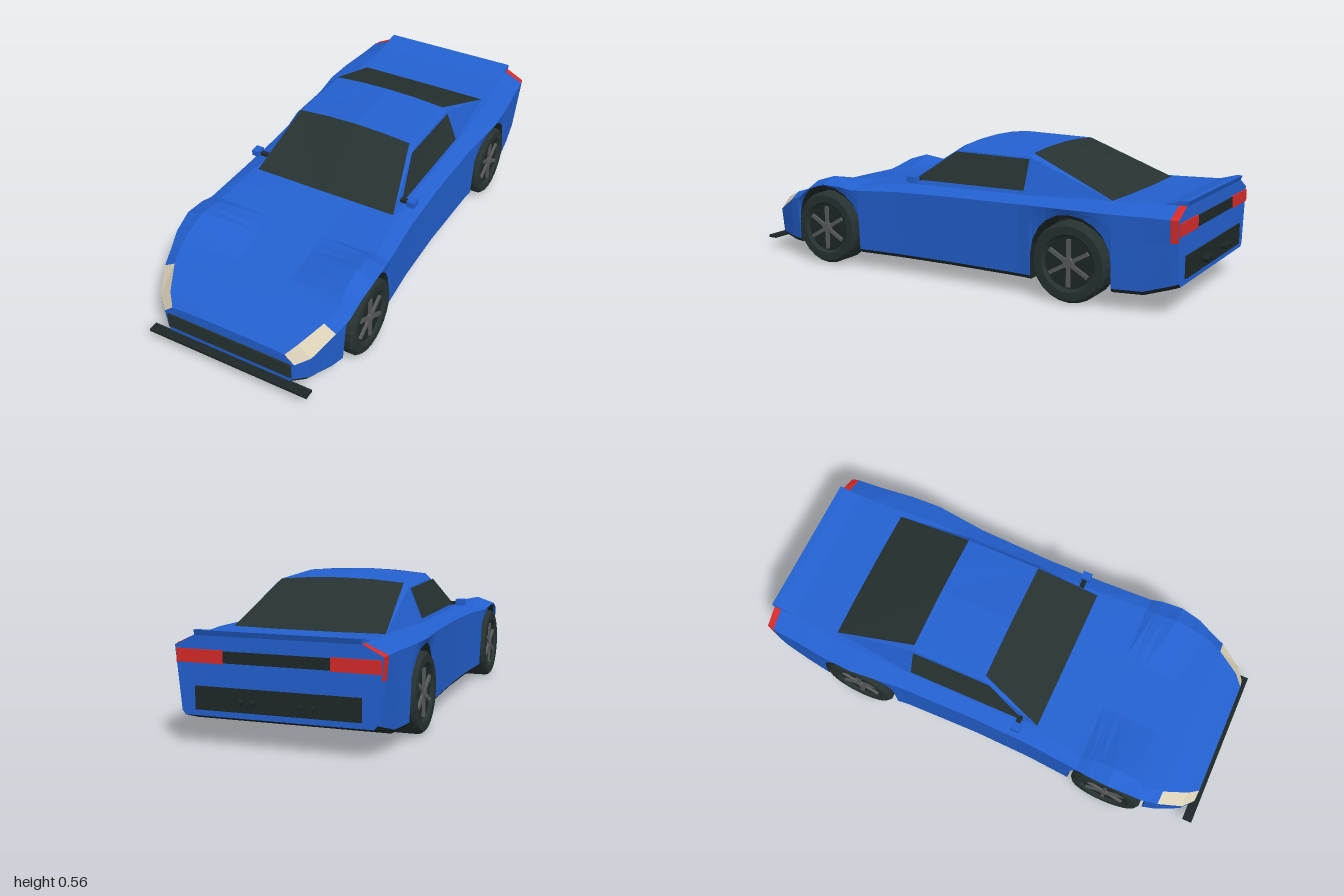
import * as THREE from 'three';

const mat = (name, color) => Object.assign(new THREE.MeshStandardMaterial({ color }), { name });

export function createModel() {
  const car = new THREE.Group();
  car.name = 'sportsCar';
  const paint = mat('blue paint', 0x2360cf);
  const glass = mat('tinted glass', 0x263231);
  const trim = mat('dark trim', 0x1e2727);
  const lamp = mat('headlight cream', 0xdad0b8);
  const red = mat('tail light red', 0xd52a28);
  const alloy = mat('wheel grey', 0x58595b);

  const add = (name, geometry, material, x = 0, y = 0, z = 0, parent = car) => {
    const m = new THREE.Mesh(geometry, material);
    m.name = name;
    m.position.set(x, y, z);
    parent.add(m);
    return m;
  };
  const box = (name, w, h, d, material, x, y, z, parent) =>
    add(name, new THREE.BoxGeometry(w, h, d), material, x, y, z, parent);

  // Faceted panels gathered per part; each polygon is given for the +x side and mirrored
  const parts = {};
  const poly = (part, pts) => {
    const out = (parts[part] ??= []);
    for (const s of [1, -1]) {
      for (let i = 1; i < pts.length - 1; i++) {
        const tri = s > 0 ? [pts[0], pts[i], pts[i + 1]] : [pts[0], pts[i + 1], pts[i]];
        for (const [x, y, z] of tri) out.push(s * x, y, z);
      }
    }
  };

  // Body stations: z, shoulder x, sill x, shoulder y, crown x, crown y, centre y, floor y
  const stations = [
    [0.97, 0.29, 0.28, 0.17, 0.25, 0.205, 0.21, 0.075],
    [0.93, 0.338, 0.325, 0.192, 0.285, 0.238, 0.24, 0.072],
    [0.83, 0.385, 0.37, 0.25, 0.335, 0.28, 0.283, 0.066],
    [0.76, 0.405, 0.39, 0.275, 0.36, 0.297, 0.294, 0.065],
    [0.70, 0.416, 0.405, 0.318, 0.35, 0.345, 0.304, 0.065],
    [0.61, 0.425, 0.415, 0.346, 0.35, 0.372, 0.318, 0.065],
    [0.52, 0.42, 0.41, 0.342, 0.35, 0.36, 0.333, 0.065],
    [0.47, 0.412, 0.4, 0.332, 0.36, 0.345, 0.34, 0.065],
    [0.25, 0.398, 0.385, 0.345, 0.335, 0.37, 0.37, 0.065],
    [0.0, 0.394, 0.38, 0.35, 0.335, 0.375, 0.375, 0.065],
    [-0.33, 0.402, 0.388, 0.356, 0.335, 0.38, 0.38, 0.065],
    [-0.55, 0.425, 0.413, 0.362, 0.335, 0.386, 0.384, 0.065],
    [-0.68, 0.42, 0.408, 0.362, 0.325, 0.388, 0.386, 0.065],
    [-0.84, 0.402, 0.385, 0.362, 0.315, 0.395, 0.394, 0.068],
    [-0.94, 0.395, 0.372, 0.362, 0.31, 0.4, 0.4, 0.1],
    [-0.97, 0.388, 0.365, 0.36, 0.31, 0.4, 0.4, 0.11],
  ];
  const axles = [0.61, -0.55], archR = 0.17, axleY = 0.155;
  const zs = stations.map((s) => s[0]);
  for (const a of axles) {
    for (const e of [1, -1]) {
      zs.push(a + e * (archR + 0.0005));
      for (const deg of [0, 18, 36, 54, 72]) zs.push(a + e * archR * Math.cos((deg * Math.PI) / 180));
    }
  }
  zs.sort((a, b) => b - a);

  const section = (z) => {
    let i = 0;
    while (i < stations.length - 2 && stations[i + 1][0] > z) i++;
    const a = stations[i], b = stations[i + 1];
    const t = (z - a[0]) / (b[0] - a[0]);
    const [, w, wb, ys, xe, ye, yc, yb] = a.map((v, k) => v + (b[k] - v) * t);
    let lo = yb;
    for (const c of axles) {
      const d = Math.abs(z - c);
      if (d < archR + 0.0002) lo = axleY + Math.sqrt(Math.max(0, archR ** 2 - d * d));
    }
    const xi = Math.min(0.28, wb - 0.03), sill = lo + 0.015;
    return [[0, yb], [xi, yb], [xi, lo], [wb - 0.012, lo], [wb, sill],
      [wb + (w - wb) * 0.65, sill + (ys - sill) * 0.65], [w, ys], [xe, ye], [0.12, yc], [0, yc]]
      .map(([x, y]) => [x, y, z]);
  };
  const rings = zs.map(section);
  for (let i = 0; i < rings.length - 1; i++) {
    for (let j = 0; j < 9; j++) {
      let part = j < 4 ? 'underbody' : 'body';
      if (j === 6 && zs[i + 1] > 0.82) part = 'headlights';
      if ((j === 5 || j === 6) && zs[i] < -0.939) part = 'tailLightCorners';
      const [a, b, c, d] = [rings[i][j], rings[i][j + 1], rings[i + 1][j + 1], rings[i + 1][j]];
      poly(part, [a, d, c]);
      poly(part, [a, c, b]);
    }
  }
  // Nose and tail faces
  const nose = rings[0], tail = rings[rings.length - 1];
  for (let j = 0; j < 9; j++) {
    poly('body', [[0, 0.14, 0.97], nose[j], nose[j + 1]]);
    poly('body', [[0, 0.25, -0.97], tail[j + 1], tail[j]]);
  }

  // Cabin: corner points on the +x side
  const A = [0.32, 0.365, 0.262], B = [0.336, 0.37, -0.33], C = [0.3, 0.386, -0.68];
  const E = [0.258, 0.54, 0], D = [0.258, 0.533, -0.32];
  const E2 = [0.278, 0.52, 0], D2 = [0.278, 0.517, -0.32];
  const roofF = [[0.13, 0.551, 0], [0, 0.555, 0]], roofR = [[0.13, 0.543, -0.32], [0, 0.546, -0.32]];
  poly('windscreen', [[0, 0.365, 0.262], A, E, ...roofF]);
  poly('rearGlass', [C, [0, 0.386, -0.68], roofR[1], roofR[0], D]);
  poly('cabin', [E, D, ...roofR, roofF[1], roofF[0]]);
  poly('cabin', [A, B, D2, E2]);
  poly('cabin', [A, E2, E]);
  poly('cabin', [E2, D2, D, E]);
  poly('cabin', [B, C, D2]);
  poly('cabin', [C, D, D2]);
  const sideX = (y) => 0.338 - 0.4 * (y - 0.37) + 0.004;
  poly('sideWindows', [[0.2, 0.392], [-0.315, 0.395], [-0.315, 0.512], [0.025, 0.516]]
    .map(([z, y]) => [sideX(y) - Math.max(0, z) * 0.03, y, z]));

  const partMaterial = { body: paint, cabin: paint, underbody: trim, headlights: lamp,
    tailLightCorners: red, windscreen: glass, rearGlass: glass, sideWindows: glass };
  for (const [name, pos] of Object.entries(parts)) {
    const g = new THREE.BufferGeometry();
    g.setAttribute('position', new THREE.Float32BufferAttribute(pos, 3));
    g.computeVertexNormals();
    add(name, g, partMaterial[name]);
  }

  // Front grille and splitter
  box('frontGrille', 0.55, 0.066, 0.008, glass, 0, 0.132, 0.972);
  box('frontSplitter', 0.71, 0.011, 0.04, trim, 0, 0.06, 0.98);

  // Rear panel, tail light bars and spoiler
  box('rearGrille', 0.62, 0.085, 0.008, trim, 0, 0.175, -0.972);
  box('rearBand', 0.4, 0.042, 0.006, trim, 0, 0.325, -0.972);
  const blade = new THREE.Shape([[-0.88, 0.396], [-0.97, 0.398], [-0.978, 0.418], [-0.95, 0.416]]
    .map(([z, y]) => new THREE.Vector2(z, y)));
  const bladeGeo = new THREE.ExtrudeGeometry(blade, { depth: 0.62, bevelEnabled: false });
  bladeGeo.translate(0, 0, -0.31).rotateY(-Math.PI / 2);
  add('spoiler', bladeGeo, paint);

  // Wheel parts, axis along x
  const tyreProfile = [[0.1, 0.05], [0.112, 0.062], [0.143, 0.062], [0.155, 0.048],
    [0.155, -0.048], [0.143, -0.062], [0, -0.062]].reverse().map(([r, h]) => new THREE.Vector2(r, h));
  const tyreGeo = new THREE.LatheGeometry(tyreProfile, 24).toNonIndexed();
  tyreGeo.computeVertexNormals();
  const discGeo = new THREE.CylinderGeometry(0.112, 0.112, 0.02, 24);

  for (const s of [1, -1]) {
    box('tailLight', 0.18, 0.048, 0.009, red, s * 0.29, 0.325, -0.972);
    box('mirrorStalk', 0.04, 0.012, 0.02, trim, s * 0.335, 0.396, 0.18);
    box('mirror', 0.034, 0.026, 0.04, paint, s * 0.366, 0.4, 0.182);
    for (const x of [0.09, 0.135]) {
      const pipe = new THREE.CylinderGeometry(0.011, 0.011, 0.035, 10).rotateX(Math.PI / 2);
      add('exhaust', pipe, trim, s * x, 0.17, -0.9825);
    }
    for (const z of axles) {
      const wheel = new THREE.Group();
      wheel.name = 'wheel';
      wheel.position.set(s * 0.354, axleY, z);
      wheel.rotation.z = (-s * Math.PI) / 2;
      car.add(wheel);
      add('tyre', tyreGeo, glass, 0, 0, 0, wheel);
      add('rimDisc', discGeo, trim, 0, 0.038, 0, wheel);
      add('hub', new THREE.CylinderGeometry(0.02, 0.024, 0.014, 12), alloy, 0, 0.054, 0, wheel);
      for (let k = 0; k < 6; k++) {
        const spoke = new THREE.Group();
        spoke.name = 'spoke';
        spoke.rotation.y = (k * Math.PI) / 3;
        wheel.add(spoke);
        box('spokeBar', 0.085, 0.01, 0.015, alloy, 0.05, 0.053, 0, spoke);
      }
    }
  }
  return car;
}
